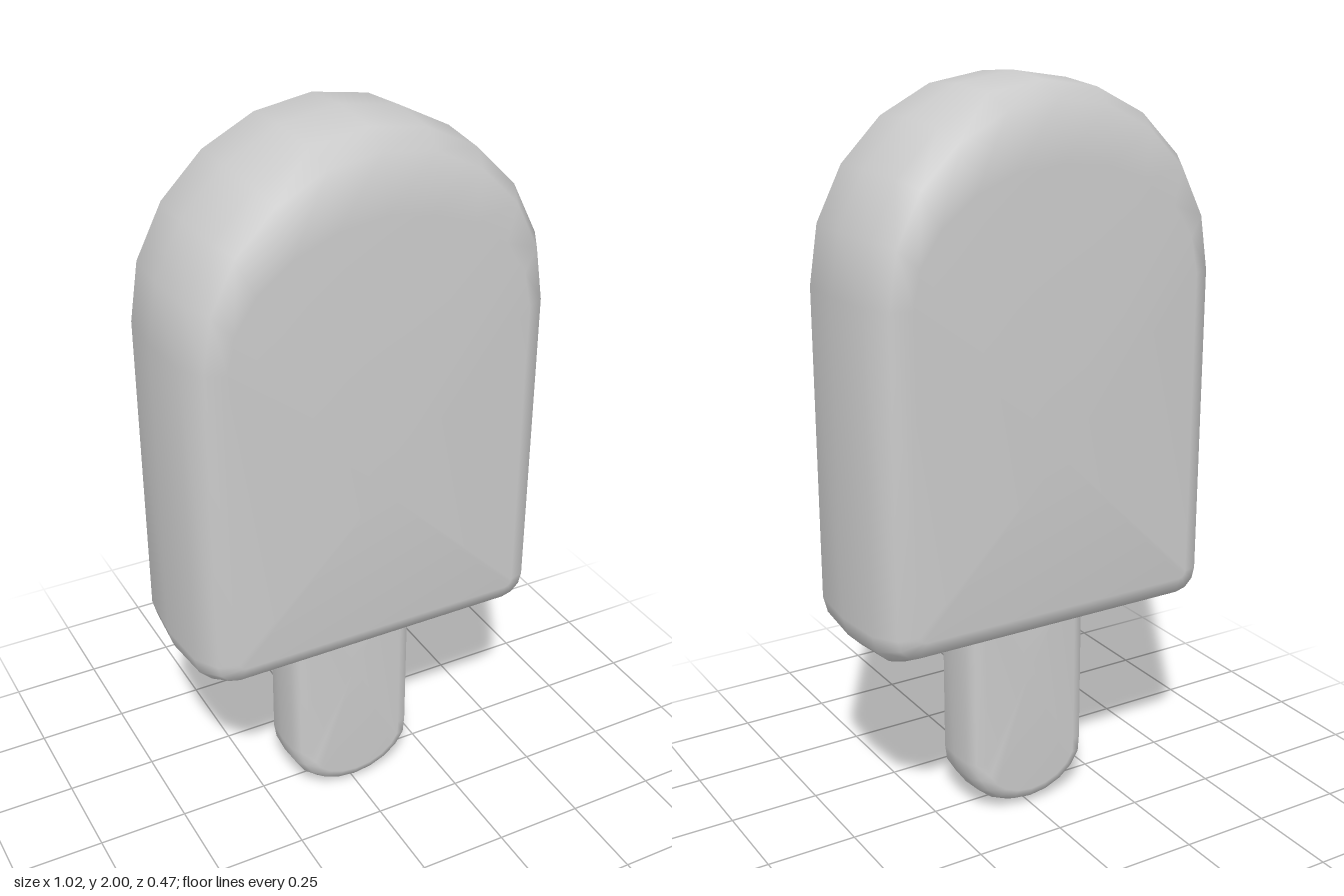
import * as THREE from 'three';

// Counter-clockwise outline: rounded bottom corners, elliptical arch on top
function archOutline({ w, bottom, spring, rise, corner }) {
  const pts = [];
  for (let i = 0; i <= 3; i++) {
    const a = -Math.PI / 2 + (i / 3) * (Math.PI / 2);
    pts.push([w - corner + corner * Math.cos(a), bottom + corner + corner * Math.sin(a)]);
  }
  for (let i = 0; i <= 10; i++) {
    const a = (i / 10) * Math.PI;
    pts.push([w * Math.cos(a), spring + rise * Math.sin(a)]);
  }
  for (let i = 0; i <= 3; i++) {
    const a = Math.PI + (i / 3) * (Math.PI / 2);
    pts.push([-w + corner + corner * Math.cos(a), bottom + corner + corner * Math.sin(a)]);
  }
  return pts;
}

// Skin outlines from back to front, mirrored about z = 0, with a fan at each end
function pillow(name, sections, material, swell = () => 1) {
  const all = [...sections.slice(1).reverse().map(s => ({ ...s, z: -s.z })), ...sections];
  const pos = [], idx = [];
  let n = 0;
  for (const s of all) {
    const outline = archOutline(s);
    n = outline.length;
    for (const [x, y] of outline) pos.push(x, y, s.z * swell(y));
  }
  for (let r = 0; r < all.length - 1; r++) {
    for (let j = 0; j < n; j++) {
      const a = r * n + j, b = r * n + (j + 1) % n;
      idx.push(a, b, b + n, a, b + n, a + n);
    }
  }
  const back = all.length * n, last = (all.length - 1) * n;
  const outer = all[all.length - 1];
  const midY = (outer.bottom + outer.spring) / 2;
  pos.push(0, midY, -outer.z, 0, midY, outer.z);
  for (let j = 0; j < n; j++) {
    const k = (j + 1) % n;
    idx.push(back, k, j, back + 1, last + j, last + k);
  }
  const geo = new THREE.BufferGeometry();
  geo.setAttribute('position', new THREE.Float32BufferAttribute(pos, 3));
  geo.setIndex(idx);
  geo.computeVertexNormals();
  const mesh = new THREE.Mesh(geo, material);
  mesh.name = name;
  return mesh;
}

export function createModel() {
  const group = new THREE.Group();
  group.name = 'icePop';
  const material = new THREE.MeshStandardMaterial({ color: 0xcccccc });

  // Ice body: soft edges, with a broader bevel around the arch
  group.add(pillow('iceBody', [
    { z: 0, w: 0.51, bottom: 0.55, spring: 1.49, rise: 0.51, corner: 0.1 },
    { z: 0.145, w: 0.498, bottom: 0.562, spring: 1.49, rise: 0.498, corner: 0.09 },
    { z: 0.21, w: 0.46, bottom: 0.595, spring: 1.49, rise: 0.46, corner: 0.06 },
    { z: 0.235, w: 0.41, bottom: 0.645, spring: 1.49, rise: 0.31, corner: 0.02 },
  ], material));

  // Stick: same form upside down, slightly thicker at the rounded end
  const stick = pillow('stick', [
    { z: 0, w: 0.188, bottom: -0.7, spring: -0.16, rise: 0.16, corner: 0.02 },
    { z: 0.06, w: 0.184, bottom: -0.7, spring: -0.16, rise: 0.154, corner: 0.02 },
    { z: 0.087, w: 0.168, bottom: -0.69, spring: -0.16, rise: 0.138, corner: 0.015 },
    { z: 0.098, w: 0.14, bottom: -0.68, spring: -0.16, rise: 0.11, corner: 0.01 },
  ], material, y => (y > -0.13 ? 1.08 : 1));
  stick.rotation.z = Math.PI;
  group.add(stick);

  return group;
}
